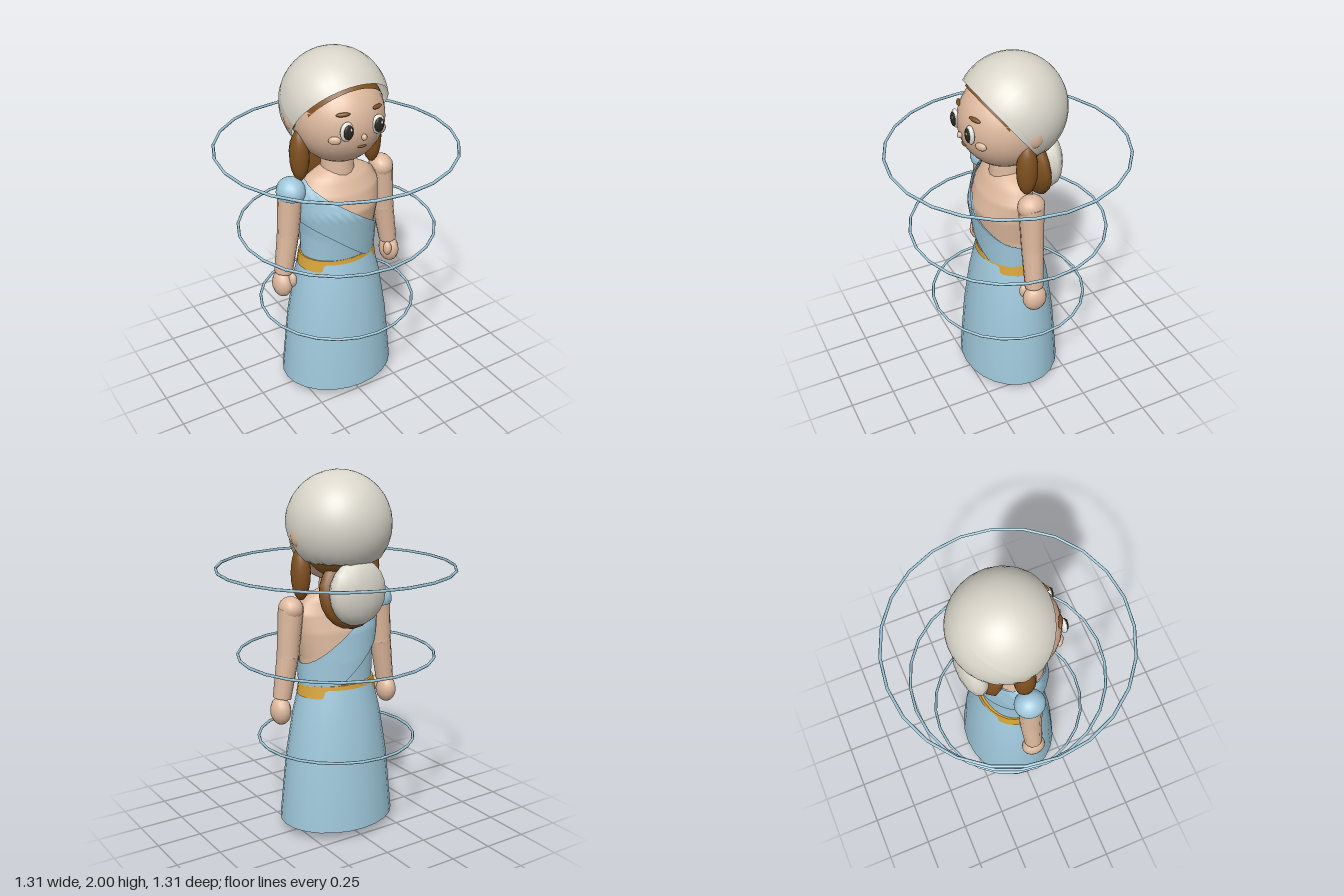
import * as THREE from 'three';
import { ParametricGeometry } from 'three/addons/geometries/ParametricGeometry.js';

const material = (name, color, side = THREE.FrontSide) => {
  const m = new THREE.MeshStandardMaterial({ color, side });
  m.name = name;
  return m;
};

// Torso rows: height, half width, front depth, back depth
const ROWS = [
  [0.8, 0.205, 0.155, 0.152], [1.0, 0.212, 0.18, 0.148], [1.14, 0.236, 0.2, 0.135],
  [1.25, 0.245, 0.165, 0.1], [1.31, 0.215, 0.13, 0.08], [1.35, 0.15, 0.095, 0.065], [1.38, 0.07, 0.07, 0.05],
];

function torsoPoint(angle, y, grow, target) {
  let i = 0;
  while (i < ROWS.length - 2 && y > ROWS[i + 1][0]) i++;
  const t = THREE.MathUtils.clamp((y - ROWS[i][0]) / (ROWS[i + 1][0] - ROWS[i][0]), 0, 1);
  const [rx, front, back] = [1, 2, 3].map((k) => THREE.MathUtils.lerp(ROWS[i][k], ROWS[i + 1][k], t) + grow);
  const c = Math.cos(angle);
  target.set(Math.sin(angle) * rx, y, c * (c > 0 ? front : back));
}

// Sheet wrapped round the torso between two heights that may vary with the angle
function wrap(low, high, grow, stacks) {
  return new ParametricGeometry((u, v, target) => {
    const a = u * Math.PI * 2;
    torsoPoint(a, THREE.MathUtils.lerp(low(a), high(a), v), grow, target);
  }, 32, stacks);
}

export function createModel() {
  const model = new THREE.Group();
  model.name = 'robedFigure';
  const skin = material('skin', 0xdeb99e);
  const blue = material('blueCloth', 0x9fc8db, THREE.DoubleSide);
  const white = material('whiteCloth', 0xdad6cb, THREE.DoubleSide);
  const brown = material('brown', 0x80501f, THREE.DoubleSide);
  const gold = material('gold', 0xd6a33a, THREE.DoubleSide);
  const eyeWhite = material('eyeWhite', 0xeeece6);
  const dark = material('darkEye', 0x2b2820);

  const add = (name, geometry, mat, x = 0, y = 0, z = 0) => {
    const mesh = new THREE.Mesh(geometry, mat);
    mesh.name = name;
    mesh.position.set(x, y, z);
    model.add(mesh);
    return mesh;
  };
  const ball = (name, mat, [x, y, z], [rx, ry, rz], w = 14, h = 10) => {
    const mesh = add(name, new THREE.SphereGeometry(1, w, h), mat, x, y, z);
    mesh.scale.set(rx, ry, rz);
    return mesh;
  };
  // Tapered limb between two points
  const limb = (name, mat, from, to, r0, r1) => {
    const a = new THREE.Vector3(...from), b = new THREE.Vector3(...to);
    const mesh = add(name, new THREE.CylinderGeometry(r1, r0, a.distanceTo(b), 12), mat);
    mesh.position.copy(a).lerp(b, 0.5);
    mesh.quaternion.setFromUnitVectors(new THREE.Vector3(0, 1, 0), b.sub(a).normalize());
    return mesh;
  };

  // Torso and neck
  add('torso', wrap(() => 0.8, () => 1.38, 0, 24), skin);
  add('neck', new THREE.CylinderGeometry(0.085, 0.095, 0.16, 16), skin, 0, 1.39, 0.01);

  // One-shouldered bodice with a diagonal fold
  const neckline = (a) => 1.15 - 0.175 * Math.sin(a);
  add('bodice', wrap(() => 0.84, neckline, 0.006, 10), blue);
  const foldLow = (a) => Math.max(0.85, 0.92 - 0.175 * Math.sin(a));
  add('bodiceFold', wrap(foldLow, (a) => neckline(a) + 0.005, 0.016, 8), blue);

  // Hollow skirt: inner wall, hem, outer wall
  const skirtProfile = [[0.205, 0.82], [0.28, 0.45], [0.325, 0.05], [0.335, 0.05], [0.298, 0.42], [0.255, 0.68], [0.215, 0.84]];
  const skirt = add('skirt', new THREE.LatheGeometry(skirtProfile.map((p) => new THREE.Vector2(...p)), 24), blue);
  skirt.scale.z = 0.835;

  // Belt
  const belt = add('belt', new THREE.CylinderGeometry(0.222, 0.234, 0.07, 24, 1, true), gold, 0, 0.828, 0);
  belt.scale.z = 0.77;
  const beltTop = add('beltTop', new THREE.RingGeometry(0.19, 0.222, 24).rotateX(-Math.PI / 2), gold, 0, 0.863, 0);
  beltTop.scale.z = 0.77;

  // Arms, hands, legs and sandals
  for (const s of [-1, 1]) {
    const side = s > 0 ? 'left' : 'right';
    const shoulder = [s * 0.283, 1.285, 0.005], elbow = [s * 0.305, 1.03, 0.005], wrist = [s * 0.342, 0.8, 0.01];
    ball(side + 'Shoulder', skin, shoulder, [0.066, 0.066, 0.075]);
    limb(side + 'UpperArm', skin, elbow, shoulder, 0.06, 0.068);
    ball(side + 'Elbow', skin, elbow, [0.06, 0.06, 0.06]);
    limb(side + 'Forearm', skin, wrist, elbow, 0.05, 0.06);
    ball(side + 'Hand', skin, [s * 0.352, 0.728, 0.01], [0.054, 0.078, 0.068]);
    ball(side + 'Thumb', skin, [s * 0.312, 0.76, 0.055], [0.024, 0.042, 0.026]);

    limb(side + 'Leg', skin, [s * 0.11, 0.05, 0], [s * 0.1, 0.65, 0], 0.043, 0.065);
    ball(side + 'Foot', skin, [s * 0.115, 0.04, 0.055], [0.053, 0.035, 0.105]);
    const sole = add(side + 'Sole', new THREE.CylinderGeometry(1, 1, 0.022, 18), brown, s * 0.115, 0.011, 0.06);
    sole.scale.set(0.068, 1, 0.125);
    const footStrap = add(side + 'FootStrap', new THREE.TorusGeometry(0.056, 0.009, 6, 16), brown, s * 0.115, 0.035, 0.09);
    footStrap.scale.y = 0.55;
    add(side + 'AnkleStrap', new THREE.TorusGeometry(0.047, 0.009, 6, 16).rotateX(Math.PI / 2), brown, s * 0.11, 0.12, 0);
  }

  // Sleeve on the draped shoulder
  const sleeve = add('sleeve', new THREE.SphereGeometry(1, 16, 10, 0, Math.PI * 2, 0, 1.95), blue, -0.281, 1.277, 0.005);
  sleeve.scale.set(0.078, 0.08, 0.085);
  sleeve.rotation.z = -0.05;

  // Head
  const head = [0, 1.66, 0.015], R = 0.25;
  ball('head', skin, head, [0.243, R, R], 28, 20);

  // Hair cap and headscarf, both tilted back
  const tilt = -0.91;
  const cap = new THREE.SphereGeometry(1, 32, 16, 0, Math.PI * 2, 0, 1.68).rotateX(tilt);
  add('hairCap', cap, brown, ...head).scale.set(0.238, 0.27, 0.27);
  const scarfShape = new THREE.SphereGeometry(0.285, 32, 20, 0, Math.PI * 2, 0, 1.87).rotateX(tilt);
  const p = scarfShape.attributes.position;
  for (let i = 0; i < p.count; i++) p.setY(i, Math.max(p.getY(i), -0.185));
  scarfShape.computeVertexNormals();
  add('headscarf', scarfShape, white, 0, 1.715, -0.025);

  // Gathered hair at the back in its cloth pouch
  const backHair = ball('backHair', brown, [0, 1.365, -0.135], [0.195, 0.195, 0.075]);
  backHair.rotation.x = 0.15;
  ball('hairPouch', white, [0, 1.378, -0.205], [0.172, 0.178, 0.085]);

  // Face
  const faceZ = (x, y) => head[2] + Math.sqrt(R * R - x * x - (y - head[1]) ** 2);
  for (const s of [-1, 1]) {
    const side = s > 0 ? 'left' : 'right';
    ball(side + 'SideLock', brown, [s * 0.222, 1.47, 0.0], [0.052, 0.145, 0.058]);
    ball(side + 'Ear', skin, [s * 0.26, 1.675, -0.025], [0.026, 0.06, 0.046]);
    ball(side + 'Eye', eyeWhite, [s * 0.092, 1.67, faceZ(0.092, 1.67) + 0.003], [0.038, 0.052, 0.018]);
    ball(side + 'Iris', dark, [s * 0.09, 1.67, faceZ(0.09, 1.67) + 0.016], [0.028, 0.039, 0.011]);
    ball(side + 'EyeGlint', eyeWhite, [s * 0.09 + 0.01, 1.685, faceZ(0.09, 1.67) + 0.025], [0.007, 0.009, 0.004], 8, 6);
    const brow = ball(side + 'Brow', brown, [s * 0.1, 1.753, faceZ(0.1, 1.753) + 0.003], [0.037, 0.011, 0.012]);
    brow.rotation.set(0, s * 0.4, s * -0.06);
    const cheek = ball(side + 'Cheek', skin, [s * 0.142, 1.62, faceZ(0.142, 1.62)], [0.032, 0.022, 0.014]);
    cheek.rotation.y = s * 0.6;
  }
  ball('nose', skin, [0, 1.625, faceZ(0, 1.625) + 0.004], [0.015, 0.017, 0.016]);
  ball('mouth', brown, [0, 1.568, faceZ(0, 1.568)], [0.026, 0.007, 0.008]);

  // Floating rings
  [[0.525, 0.436], [1.003, 0.541], [1.482, 0.645]].forEach(([y, r], i) =>
    add('ring' + (i + 1), new THREE.TorusGeometry(r, 0.008, 6, 24).rotateX(Math.PI / 2), blue, 0, y, 0));

  return model;
}
